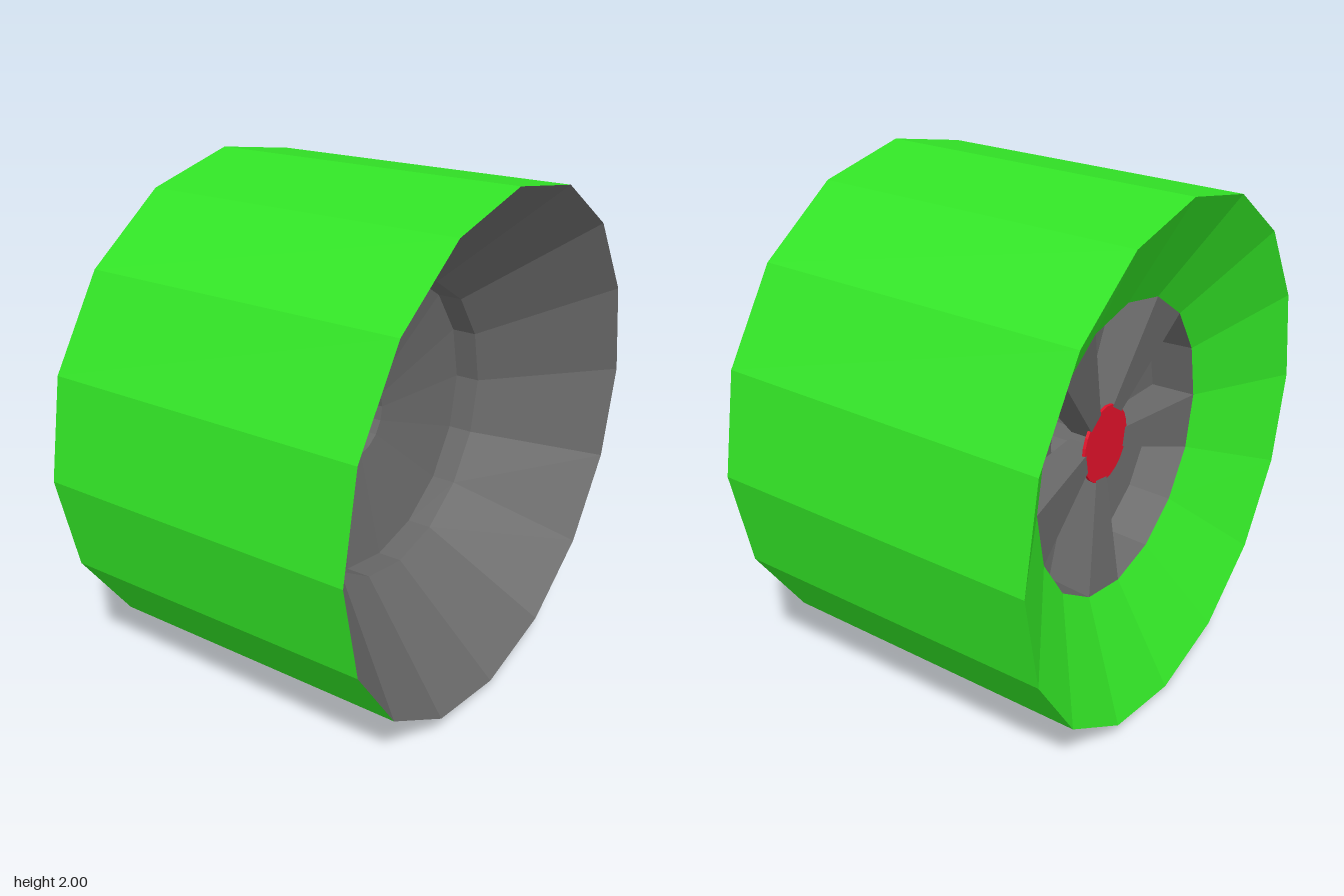
import * as THREE from 'three';

const SIDES = 16;
const TILT = 0.0271; // the axle rises slightly towards +x

const green = new THREE.MeshStandardMaterial({ color: 0x32e326, side: THREE.DoubleSide });
green.name = 'tyre green';
const grey = new THREE.MeshStandardMaterial({ color: 0x686868, side: THREE.DoubleSide });
grey.name = 'rim grey';
const red = new THREE.MeshStandardMaterial({ color: 0xe0112a, side: THREE.DoubleSide });
red.name = 'hub red';

// Shears a part along the axle, lifts it to wheel height and facets it
function addPart(parent, name, geometry, material) {
  const geo = geometry.index ? geometry.toNonIndexed() : geometry;
  const p = geo.attributes.position;
  for (let i = 0; i < p.count; i++) p.setY(i, p.getY(i) + 1 + TILT * p.getX(i));
  geo.computeVertexNormals();
  const mesh = new THREE.Mesh(geo, material);
  mesh.name = name;
  parent.add(mesh);
}

// Ring surface about the x axis from [x, radius] pairs
function ring(profile, sides = SIDES) {
  const points = profile.map(([x, r]) => new THREE.Vector2(r, x));
  return new THREE.LatheGeometry(points, sides).rotateZ(-Math.PI / 2);
}

// Tapered spoke filling one rim segment; angle is measured from +z towards +y
function spoke(startDeg) {
  const a0 = THREE.MathUtils.degToRad(startDeg);
  const a1 = a0 + (Math.PI * 2) / SIDES;
  const mid = (a0 + a1) / 2;
  const v = [];
  const corner = (x, r, a) => v.push(x, r * Math.sin(a), r * Math.cos(a));
  corner(-0.39, 0.571, a0);
  corner(-0.39, 0.571, a1);
  corner(-0.305, 0.065, mid + 0.4);
  corner(-0.305, 0.065, mid - 0.4);
  corner(-0.21, 0.571, a0);
  corner(-0.21, 0.571, a1);
  corner(-0.2, 0.065, mid + 0.4);
  corner(-0.2, 0.065, mid - 0.4);
  const geo = new THREE.BufferGeometry();
  geo.setAttribute('position', new THREE.Float32BufferAttribute(v, 3));
  const quads = [[0, 3, 2, 1], [4, 5, 6, 7], [0, 4, 7, 3], [1, 2, 6, 5], [2, 3, 7, 6], [0, 1, 5, 4]];
  geo.setIndex(quads.flatMap(([a, b, c, d]) => [a, c, b, a, d, c]));
  return geo;
}

export function createModel() {
  const wheel = new THREE.Group();
  wheel.name = 'wheel';

  // Tread and the dished outer sidewall
  addPart(wheel, 'tyre', ring([[-0.39, 0.571], [-0.62, 0.983], [0.62, 0.983]]), green);

  // Inner dish: funnel, step and shallow cone down to the axle hole
  addPart(wheel, 'innerDish', ring([[0.62, 0.983], [0.19, 0.571], [0.09, 0.571], [0, 0.148]]), grey);
  addPart(wheel, 'axleTube', ring([[0, 0.148], [-0.17, 0.148]]), grey);

  // Recess behind the spokes
  addPart(wheel, 'rimRecess', ring([[-0.17, 0.148], [-0.21, 0.56], [-0.39, 0.571]]), grey);

  const spokes = new THREE.Group();
  spokes.name = 'spokes';
  for (const start of [-112.5, -22.5, 45, 112.5, 180]) addPart(spokes, 'spoke', spoke(start), grey);
  wheel.add(spokes);

  // Hub cap
  const cap = new THREE.CylinderGeometry(0.152, 0.152, 0.012, 24).rotateZ(-Math.PI / 2);
  cap.translate(-0.312, 0, 0);
  addPart(wheel, 'hubCap', cap, red);

  return wheel;
}
